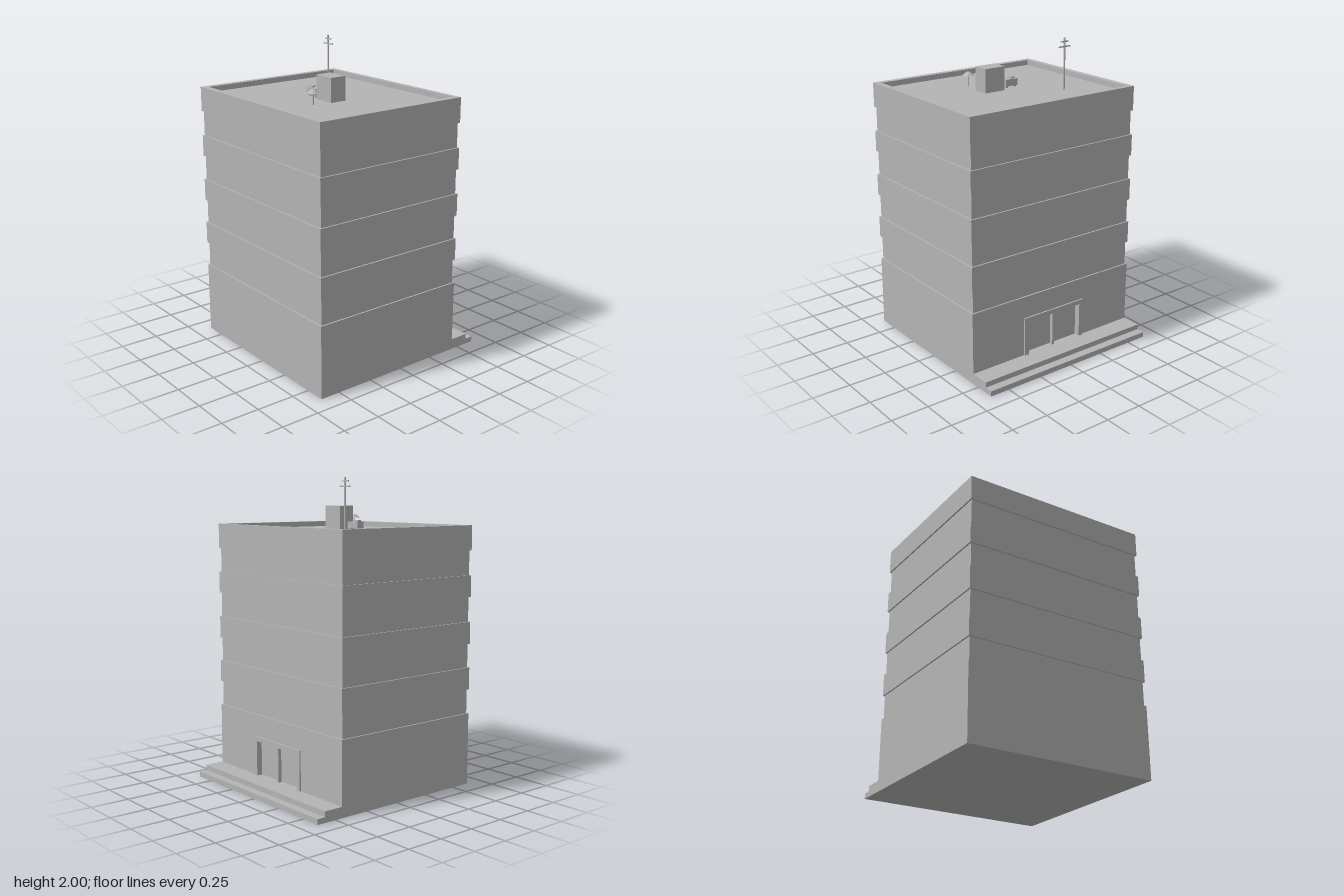
import * as THREE from 'three';

const concrete = new THREE.MeshStandardMaterial({ color: 0xb4b4b4 });
concrete.name = 'concrete grey';

export function createModel() {
  const model = new THREE.Group();
  model.name = 'officeBlock';

  const add = (name, geometry, parent = model) => {
    const mesh = new THREE.Mesh(geometry, concrete);
    mesh.name = name;
    parent.add(mesh);
    return mesh;
  };
  // Box given by its limits on each axis
  const box = (name, x0, x1, y0, y1, z0, z1, parent) => {
    const mesh = add(name, new THREE.BoxGeometry(x1 - x0, y1 - y0, z1 - z0), parent);
    mesh.position.set((x0 + x1) / 2, (y0 + y1) / 2, (z0 + z1) / 2);
    return mesh;
  };
  const post = (name, x, z, r, y0, y1, parent) => {
    const mesh = add(name, new THREE.CylinderGeometry(r, r, y1 - y0, 8), parent);
    mesh.position.set(x, (y0 + y1) / 2, z);
    return mesh;
  };
  const rect = (x0, x1, y0, y1, Type = THREE.Shape) => new Type([
    new THREE.Vector2(x0, y0), new THREE.Vector2(x1, y0),
    new THREE.Vector2(x1, y1), new THREE.Vector2(x0, y1),
  ]);

  const W = 0.635, BACK = -0.45, FRONT = 0.635, ROOF = 1.665, TOP = 1.7;

  // Ground floor, with a doorway cut into the back wall
  box('groundFloor', -W, W, 0, 0.475, BACK + 0.03, FRONT);
  const wall = rect(-W, W, 0, 0.475);
  wall.holes.push(rect(-0.21, 0.21, 0.07, 0.3, THREE.Path));
  add('entranceWall', new THREE.ExtrudeGeometry(wall, { depth: 0.03, bevelEnabled: false }))
    .position.z = BACK;

  // Storeys: recessed window strips alternating with projecting bands
  for (let i = 0; i < 4; i++) {
    const y = 0.475 + i * 0.3535;
    const bandY = [0.635, 0.935, 1.24, 1.54][i];
    const bandTop = [0.78, 1.08, 1.38, ROOF][i];
    const stripY = i === 0 ? y : [0, 0.78, 1.08, 1.38][i];
    box('windowStrip', -0.625, 0.625, stripY, bandY, BACK + 0.01, FRONT - 0.01);
    box('wallBand', -W, W, bandY, bandTop, BACK, FRONT);
  }

  // Parapet around the sunken roof
  const rim = rect(-W, W, -FRONT, -BACK);
  rim.holes.push(rect(-0.595, 0.595, -0.595, 0.42, THREE.Path));
  const parapet = add('parapet', new THREE.ExtrudeGeometry(rim, { depth: TOP - ROOF, bevelEnabled: false }));
  parapet.rotation.x = -Math.PI / 2;
  parapet.position.y = ROOF;

  // Entrance steps
  box('lowerStep', -W, W, 0, 0.035, -0.635, BACK);
  box('upperStep', -W, W, 0.035, 0.07, -0.58, BACK);

  // Door frame, mullion and door leaves
  const entrance = new THREE.Group();
  entrance.name = 'entrance';
  model.add(entrance);
  for (const s of [-1, 1]) {
    box('doorJamb', s * 0.225 - 0.015, s * 0.225 + 0.015, 0.07, 0.33, -0.46, BACK, entrance);
    box('doorLeaf', s * 0.106 - 0.096, s * 0.106 + 0.096, 0.075, 0.295, -0.428, -0.42, entrance);
  }
  box('doorLintel', -0.21, 0.21, 0.3, 0.33, -0.46, BACK, entrance);
  box('doorMullion', -0.008, 0.008, 0.07, 0.3, -0.45, -0.42, entrance);

  // Rooftop stair housing with a small grille
  box('roofHousing', 0, 0.15, ROOF, 1.82, 0.07, 0.18);
  box('housingGrille', 0.05, 0.1, 1.765, 1.775, 0.18, 0.185);

  // Cooling unit
  box('coolingUnit', -0.13, -0.035, ROOF + 0.01, 1.72, 0.105, 0.16);
  for (const x of [-0.12, -0.055]) box('unitFoot', x, x + 0.012, ROOF, ROOF + 0.01, 0.11, 0.155);
  box('unitCap', -0.118, -0.088, 1.72, 1.73, 0.12, 0.145);
  const fan = add('unitFan', new THREE.CylinderGeometry(0.016, 0.016, 0.004, 12));
  fan.rotation.x = Math.PI / 2;
  fan.position.set(-0.08, 1.697, 0.162);

  // Vent with an eight-sided hood
  post('ventPipe', 0.122, 0.297, 0.004, ROOF, 1.742);
  add('ventHood', new THREE.CylinderGeometry(0.012, 0.04, 0.022, 8).toNonIndexed())
    .position.set(0.122, 1.75, 0.297);

  // Aerial mast with two crossbars
  post('aerialMast', -0.307, -0.15, 0.006, ROOF, 2);
  box('upperCrossbar', -0.337, -0.277, 1.972, 1.98, -0.154, -0.146);
  box('lowerCrossbar', -0.353, -0.261, 1.94, 1.948, -0.154, -0.146);

  return model;
}
